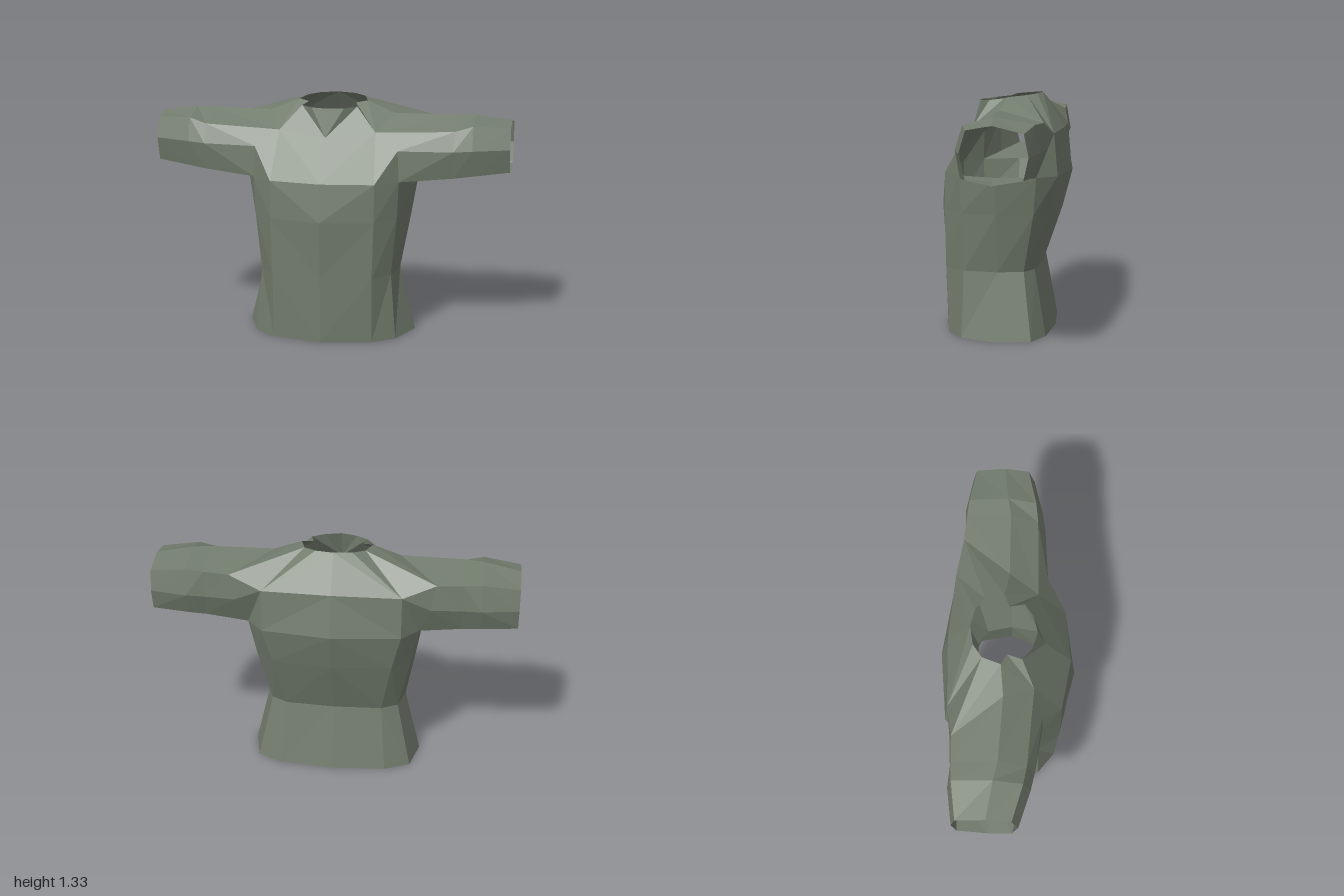
import * as THREE from 'three';

const fabric = new THREE.MeshStandardMaterial({ color: 0x727c6d, side: THREE.DoubleSide, flatShading: true });
fabric.name = 'greyGreenFabric';

// Triangulates polygons as fans and adds their mirror image in x.
function polyMesh(name, polys, sides = [1, -1]) {
  const pos = [];
  for (const s of sides) {
    for (const poly of polys) {
      for (let i = 1; i < poly.length - 1; i++) {
        const tri = [poly[0], poly[i], poly[i + 1]];
        if (s < 0) tri.reverse();
        for (const [x, y, z] of tri) pos.push(x * s, y, z);
      }
    }
  }
  const geo = new THREE.BufferGeometry();
  geo.setAttribute('position', new THREE.Float32BufferAttribute(pos, 3));
  geo.computeVertexNormals();
  const mesh = new THREE.Mesh(geo, fabric);
  mesh.name = name;
  return mesh;
}

// Quads between consecutive rings of equal length.
function loft(rings, closed, flip = false) {
  const polys = [];
  for (let k = 0; k < rings.length - 1; k++) {
    const a = rings[k], b = rings[k + 1], n = a.length;
    for (let i = 0; i < (closed ? n : n - 1); i++) {
      const j = (i + 1) % n;
      polys.push(flip ? [a[i], b[i], b[j], a[j]] : [a[i], a[j], b[j], b[i]]);
    }
  }
  return polys;
}

export function createModel() {
  const group = new THREE.Group();
  group.name = 'longTopGarment';

  // Half cross-sections of the body, [x, z] from front centre round to back centre
  const body = [
    [0, [[0, 0.35], [0.28, 0.29], [0.4, 0.2], [0.485, 0], [0.44, -0.19], [0.3, -0.255], [0, -0.28]]],
    [0.37, [[0, 0.355], [0.28, 0.305], [0.37, 0.19], [0.395, 0], [0.36, -0.14], [0.27, -0.19], [0, -0.205]]],
    [0.69, [[0, 0.375], [0.29, 0.31], [0.4, 0.2], [0.455, 0], [0.43, -0.2], [0.33, -0.285], [0, -0.315]]],
    [0.9, [[0, 0.347], [0.29, 0.305], [0.41, 0.205], [0.49, 0], [0.47, -0.22], [0.38, -0.325], [0, -0.37]]],
  ].map(([y, pts]) => pts.map(([x, z]) => [x, y, z]));
  group.add(polyMesh('body', loft(body, false)));

  // Shoulder and chest points
  const c = body[3];
  const chest = [0, 1.13, 0.2], chestSide = [0.27, 1.16, 0.15];
  const armFront = [0.4, 1.07, 0.2], armTop = [0.35, 1.247, -0.01];
  const armTopBack = [0.56, 1.2, -0.27], armBack = [0.53, 1.06, -0.285];
  const back = [0, 1.135, -0.325], backSide = [0.38, 1.13, -0.305];
  // Neck opening, front to back
  const n = [
    [0, 1.285, 0.155], [0.09, 1.285, 0.13], [0.155, 1.29, 0.08], [0.135, 1.3, 0],
    [0.195, 1.31, -0.03], [0.165, 1.32, -0.13], [0.1, 1.327, -0.18], [0, 1.33, -0.2],
  ];
  group.add(polyMesh('yoke', [
    [c[0], c[1], chestSide, chest],
    [c[1], c[2], armFront, chestSide],
    [chest, chestSide, n[2], n[1], n[0]],
    [chestSide, n[3], n[2]],
    [chestSide, n[4], n[3]],
    [chestSide, armTop, n[4]],
    [armTop, armTopBack, n[4]],
    [armTopBack, n[5], n[4]],
    [armTopBack, backSide, n[5]],
    [backSide, back, n[7], n[6], n[5]],
    [c[4], c[5], backSide, armBack],
    [armBack, backSide, armTopBack],
    [c[5], c[6], back, backSide],
  ]));

  // Sleeve rings, [y, z] from lower front up over the top to the underside
  const cuffs = [
    [0.7, [[0.92, 0.145], [1.07, 0.173], [1.175, 0.13], [1.247, -0.02], [1.205, -0.262], [1.06, -0.272], [0.93, -0.225], [0.907, -0.02]]],
    [0.8, [[0.93, 0.12], [1.075, 0.155], [1.205, 0.115], [1.247, -0.04], [1.21, -0.255], [1.065, -0.28], [0.94, -0.235], [0.915, -0.04]]],
    [1, [[0.95, 0.067], [1.08, 0.1], [1.195, 0.065], [1.218, -0.067], [1.18, -0.225], [1.066, -0.248], [0.95, -0.222], [0.922, -0.063]]],
  ].map(([x, pts]) => pts.map(([y, z]) => [x, y, z]));
  const armhole = [c[2], armFront, chestSide, armTop, armTopBack, armBack, c[4], c[3]];
  const sleeve = loft([armhole, ...cuffs], true, true);
  group.add(polyMesh('leftSleeve', sleeve, [1]), polyMesh('rightSleeve', sleeve, [-1]));

  return group;
}
